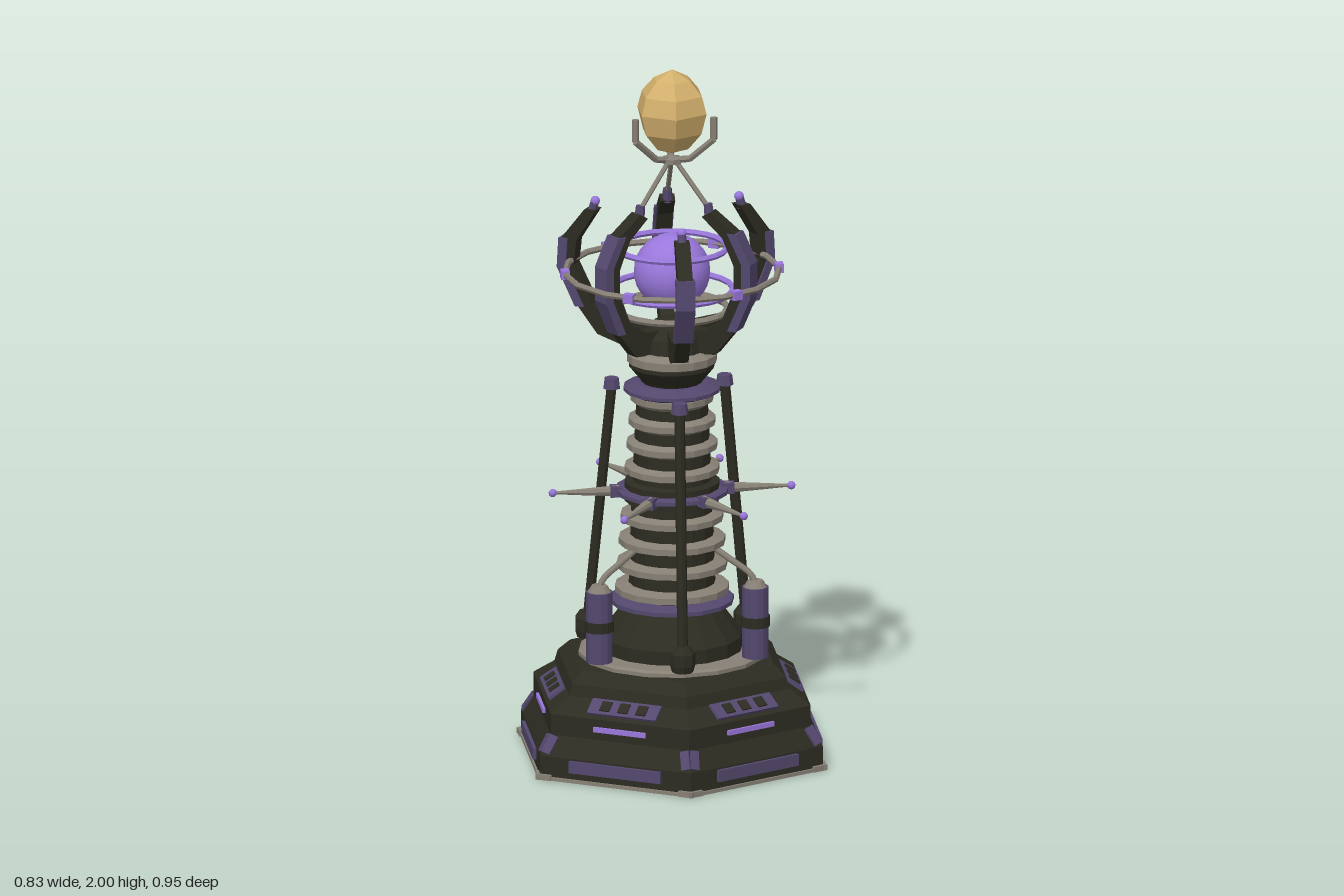
import * as THREE from 'three';

const mat = (name, color) => {
  const m = new THREE.MeshStandardMaterial({ color });
  m.name = name;
  return m;
};

export function createModel() {
  const dark = mat('dark iron', 0x2d2c22);
  const violet = mat('dull violet', 0x54486e);
  const glow = mat('bright violet', 0x9a78dc);
  const stone = mat('warm grey', 0x878075);
  const gold = mat('gold', 0xd2af6c);

  const root = new THREE.Group();
  root.name = 'tower';
  const V = (x, y, z = 0) => new THREE.Vector3(x, y, z);

  // Faceted copy of a geometry
  const flat = (g) => {
    const f = g.index ? g.toNonIndexed() : g;
    f.computeVertexNormals();
    return f;
  };
  const add = (parent, name, geo, material, x = 0, y = 0, z = 0) => {
    const m = new THREE.Mesh(geo, material);
    m.name = name;
    m.position.set(x, y, z);
    parent.add(m);
    return m;
  };
  const turned = (name, pts, material, sides = 16) =>
    add(root, name, flat(new THREE.LatheGeometry(pts.map((p) => new THREE.Vector2(p[0], p[1])), sides)), material);
  // Bevelled ring around the axis
  const fin = (name, y, rIn, rOut, h, material) =>
    turned(name, [[rIn, y - h], [rOut, y - h * 0.4], [rOut, y + h * 0.4], [rIn, y + h]], material);
  // Tapered round bar between two points
  const bar = (parent, name, a, b, r0, r1, material, sides = 8) => {
    const m = add(parent, name, flat(new THREE.CylinderGeometry(r1, r0, a.distanceTo(b), sides)), material);
    m.position.copy(a).lerp(b, 0.5);
    m.quaternion.setFromUnitVectors(V(0, 1), b.clone().sub(a).normalize());
    return m;
  };
  const ball = (parent, name, r, material, x, y, w = 8, h = 6) =>
    add(parent, name, new THREE.SphereGeometry(r, w, h), material, x, y);
  const hoop = (name, r, tube, y, material, sides = 24) => {
    const m = add(root, name, flat(new THREE.TorusGeometry(r, tube, 6, sides)), material, 0, y);
    m.rotation.x = Math.PI / 2;
  };
  // Group whose local +x points outward at an angle measured from +z
  const spoke = (name, degrees) => {
    const g = new THREE.Group();
    g.name = name;
    g.rotation.y = THREE.MathUtils.degToRad(degrees - 90);
    root.add(g);
    return g;
  };

  // Hexagonal stepped base
  turned('base', [[0, 0], [0.462, 0], [0.462, 0.07], [0.425, 0.125], [0.425, 0.185], [0.415, 0.192],
    [0.36, 0.227], [0.35, 0.26], [0.312, 0.293], [0, 0.293]], dark, 6);

  // Panels, light strips and consoles on each face of the base
  for (let i = 0; i < 6; i++) {
    const face = new THREE.Group();
    face.name = 'baseFace';
    face.rotation.y = THREE.MathUtils.degToRad(30 + i * 60);
    root.add(face);
    add(face, 'lowerPanel', new THREE.BoxGeometry(0.28, 0.034, 0.016), violet, 0, 0.048, 0.402);
    add(face, 'lightStrip', new THREE.BoxGeometry(0.16, 0.014, 0.012), glow, 0, 0.156, 0.37);
    const console3 = new THREE.Group();
    console3.name = 'console';
    console3.position.set(0, 0.21, 0.336);
    console3.rotation.x = -0.98;
    face.add(console3);
    add(console3, 'consolePlate', new THREE.BoxGeometry(0.21, 0.055, 0.014), violet);
    for (const u of [-0.055, 0, 0.055])
      add(console3, 'button', new THREE.BoxGeometry(0.03, 0.034, 0.01), dark, u, 0, 0.006);
    // Corner brackets and foot trims at both ends of the face
    for (const s of [-1, 1]) {
      const b = add(face, 'cornerBracket', new THREE.BoxGeometry(0.026, 0.056, 0.01), violet, s * 0.207, 0.1, 0.384);
      b.rotation.x = -0.53;
      b.rotation.z = s * 0.3;
      add(face, 'footTrim', new THREE.BoxGeometry(0.045, 0.016, 0.03), stone, s * 0.218, 0.009, 0.395);
    }
    add(face, 'edgeTrim', new THREE.BoxGeometry(0.4, 0.01, 0.012), stone, 0, 0.006, 0.4);
  }

  // Plinth and column
  turned('plinthDisc', [[0, 0.29], [0.265, 0.29], [0.265, 0.304], [0.255, 0.31], [0, 0.31]], stone);
  turned('plinthCone', [[0.2, 0.308], [0.2, 0.35], [0.13, 0.445]], dark);
  fin('lowerCollar', 0.45, 0.12, 0.175, 0.015, violet);
  turned('columnCore', [[0.125, 0.43], [0.115, 0.75], [0.1, 1.06]], dark);
  for (let i = 0; i < 9; i++) {
    if (i === 4) continue;
    fin('columnFin', 0.485 + i * 0.07, 0.1, 0.162 - i * 0.0055, 0.022, stone);
  }
  turned('middleDrum', [[0.1, 0.735], [0.135, 0.742], [0.135, 0.798], [0.1, 0.805]], dark);
  fin('middleCollar', 0.77, 0.12, 0.16, 0.014, violet);
  turned('upperCollar', [[0.09, 1.052], [0.12, 1.056], [0.138, 1.064], [0.138, 1.074], [0.1, 1.088], [0, 1.088]], violet);
  turned('cup', [[0.08, 1.08], [0.09, 1.095], [0.122, 1.135], [0.122, 1.15]], dark);
  turned('cupRim', [[0.11, 1.14], [0.128, 1.15], [0.128, 1.172], [0.11, 1.185], [0, 1.185]], stone);
  turned('cupDome', [[0.1, 1.18], [0.09, 1.225], [0.05, 1.265], [0, 1.275]], dark, 12);

  // Radial spikes on the column, and nodes on the wide orbit ring
  for (let i = 0; i < 6; i++) {
    const g = spoke('spike', 30 + i * 60);
    add(g, 'spikeSocket', new THREE.BoxGeometry(0.035, 0.03, 0.034), violet, 0.158, 0.77);
    bar(g, 'spikeRod', V(0.15, 0.77), V(0.335, 0.77), 0.017, 0.004, stone);
    ball(g, 'spikeTip', 0.012, glow, 0.338, 0.77);
    add(g, 'orbitNode', new THREE.BoxGeometry(0.024, 0.026, 0.03), glow, 0.303, 1.41);
  }

  // Energy sphere and its rings
  ball(root, 'energySphere', 0.108, glow, 0, 1.41, 24, 16);
  hoop('orbitRing', 0.304, 0.009, 1.41, stone, 16);
  hoop('upperRing', 0.155, 0.009, 1.48, glow);
  hoop('middleRing', 0.172, 0.009, 1.357, glow);
  hoop('lowerRing', 0.157, 0.01, 1.3, stone);

  // Side outline in (radius, height), given an even thickness across
  const slab = (parent, name, outline, width, material) => {
    const g = new THREE.ExtrudeGeometry(new THREE.Shape(outline.map((p) => new THREE.Vector2(p[0], p[1]))),
      { depth: width, bevelEnabled: false });
    g.translate(0, 0, -width / 2);
    add(parent, name, g, material);
  };
  const claw = (g, outer, inner, from, to) => {
    slab(g, 'clawArm', [...outer, ...inner], 0.042, dark);
    const mid = outer.slice(from, to);
    const shift = (d) => mid.map(([x, y]) => [x + d, y]);
    slab(g, 'clawArmour', [...shift(0.007), ...shift(-0.02).reverse()], 0.054, violet);
  };

  for (let i = 0; i < 3; i++) {
    // Long claws, with leaning rods below them
    const a = spoke('longClaw', i * 120);
    claw(a, [[0.06, 1.18], [0.14, 1.18], [0.22, 1.205], [0.28, 1.28], [0.335, 1.39], [0.33, 1.475], [0.26, 1.565]],
      [[0.225, 1.565], [0.285, 1.47], [0.292, 1.4], [0.235, 1.29], [0.185, 1.25], [0.06, 1.25]], 3, 6);
    bar(a, 'clawTip', V(0.245, 1.555), V(0.235, 1.59), 0.014, 0.012, violet);
    ball(a, 'clawBead', 0.014, glow, 0.235, 1.588);
    bar(a, 'rod', V(0.26, 0.35), V(0.185, 1.05), 0.015, 0.015, dark);
    add(a, 'rodFoot', flat(new THREE.LatheGeometry([[0, 0], [0.03, 0], [0.036, 0.02], [0.036, 0.055], [0.022, 0.075],
      [0, 0.075]].map((p) => new THREE.Vector2(...p)), 8)), dark, 0.26, 0.31);
    add(a, 'rodCap', flat(new THREE.CylinderGeometry(0.021, 0.025, 0.03, 8)), violet, 0.185, 1.06);

    // Short claws, with struts and cradle prongs above
    const b = spoke('shortClaw', 60 + i * 120);
    claw(b, [[0.05, 1.18], [0.14, 1.185], [0.2, 1.26], [0.243, 1.36], [0.243, 1.46], [0.2, 1.545], [0.125, 1.6]],
      [[0.1, 1.585], [0.162, 1.53], [0.198, 1.45], [0.198, 1.38], [0.158, 1.28], [0.1, 1.25], [0.05, 1.25]], 2, 6);
    bar(b, 'clawTip', V(0.115, 1.58), V(0.11, 1.62), 0.015, 0.013, violet);
    bar(b, 'strut', V(0.11, 1.61), V(0.01, 1.735), 0.007, 0.007, stone, 6);
    const prong = [V(0, 1.735), V(0.055, 1.745), V(0.128, 1.81), V(0.128, 1.875)];
    for (let k = 0; k < 3; k++) bar(b, 'cradleProng', prong[k], prong[k + 1], 0.01, 0.01, stone, 6);

    // Canister with a pipe into the column
    add(b, 'canister', flat(new THREE.CylinderGeometry(0.038, 0.038, 0.205, 12)), violet, 0.255, 0.412);
    add(b, 'canisterBand', flat(new THREE.CylinderGeometry(0.042, 0.042, 0.03, 12)), dark, 0.255, 0.415);
    add(b, 'canisterCap', flat(new THREE.CylinderGeometry(0.022, 0.034, 0.02, 12)), stone, 0.255, 0.523);
    const pipe = new THREE.CatmullRomCurve3([V(0.255, 0.525), V(0.24, 0.55), V(0.18, 0.585), V(0.1, 0.63)]);
    add(b, 'pipe', new THREE.TubeGeometry(pipe, 10, 0.009, 6), stone);
  }

  // Faceted finial on its hub
  turned('finialHub', [[0, 1.722], [0.03, 1.728], [0.03, 1.742], [0, 1.75]], stone, 8);
  turned('finial', [[0, 1.755], [0.05, 1.772], [0.09, 1.82], [0.106, 1.88], [0.092, 1.93], [0.055, 1.972], [0, 2]], gold, 6);

  return root;
}
